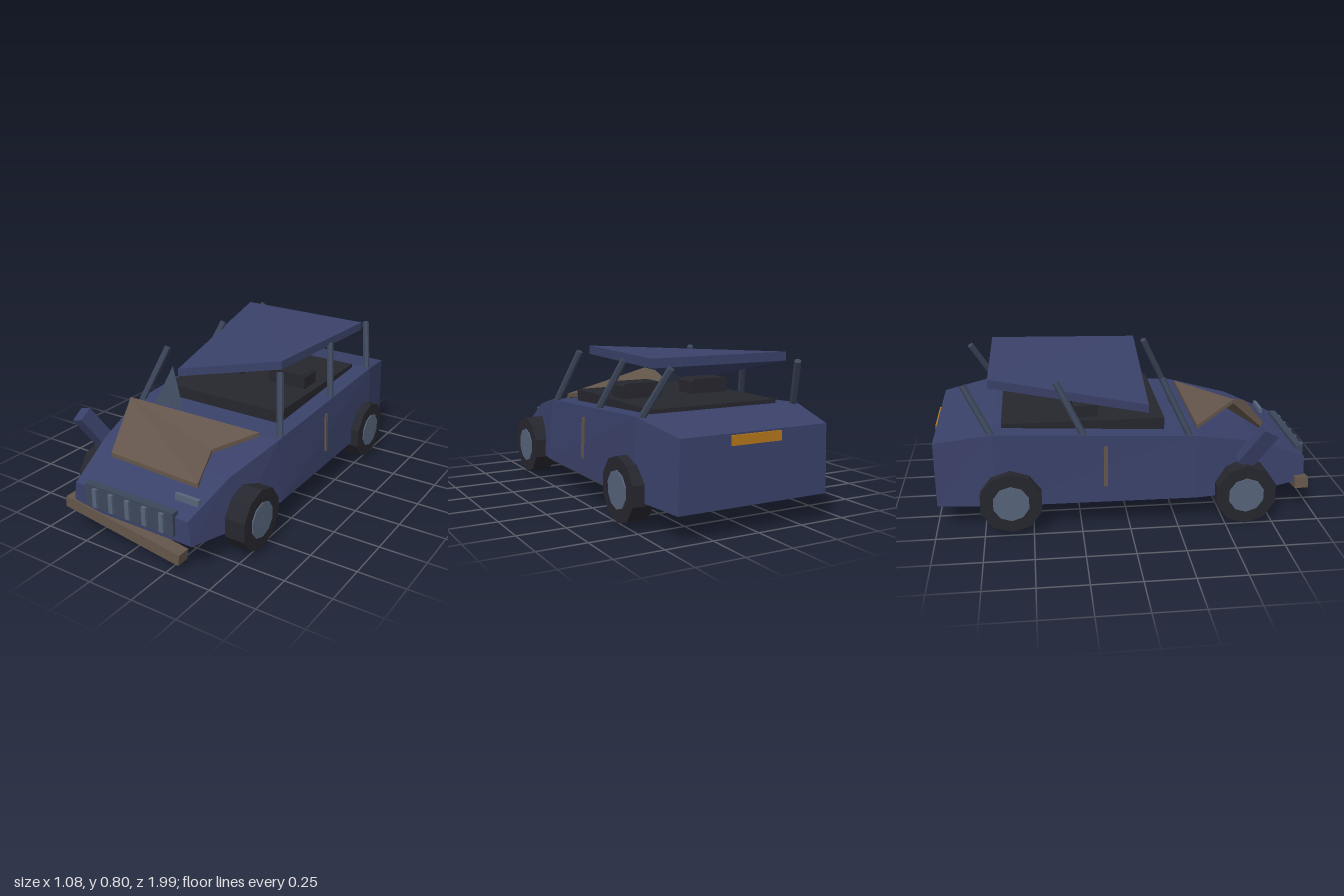
import * as THREE from 'three';

const mat = (name, color, extra = {}) =>
  Object.assign(new THREE.MeshStandardMaterial({ color, flatShading: true, ...extra }), { name });

export function createModel() {
  const car = new THREE.Group();
  car.name = 'wreckedCar';
  const navy = mat('navy paint', 0x3a4169);
  const rust = mat('rusty metal', 0x63554a);
  const rubber = mat('dark rubber', 0x26262e);
  const steel = mat('dull steel', 0x3c465a, { side: THREE.DoubleSide });
  const pale = mat('pale steel', 0x56647a);
  const amber = mat('amber plate', 0xb5771c);
  const cx = 0.015; // body centre line

  const add = (name, geometry, material, x = 0, y = 0, z = 0) => {
    const mesh = new THREE.Mesh(geometry, material);
    mesh.name = name;
    mesh.position.set(x, y, z);
    car.add(mesh);
    return mesh;
  };
  const box = (name, material, w, h, d, x, y, z) =>
    add(name, new THREE.BoxGeometry(w, h, d), material, x, y, z);

  // Skins four-cornered sections running from rear to front:
  // top left, top right, bottom right, bottom left
  const loft = (rings, flipped = []) => {
    const pos = [];
    const tri = (...pts) => pts.forEach((p) => pos.push(...p));
    for (let i = 0; i < rings.length - 1; i++) {
      for (let k = 0; k < 4; k++) {
        const n = (k + 1) % 4;
        const a = rings[i][k], b = rings[i][n], c = rings[i + 1][n], d = rings[i + 1][k];
        if (flipped.includes(i)) { tri(a, d, b); tri(b, d, c); }
        else { tri(a, d, c); tri(a, c, b); }
      }
    }
    const r = rings[0], f = rings[rings.length - 1];
    tri(r[0], r[1], r[2]); tri(r[0], r[2], r[3]);
    tri(f[0], f[3], f[2]); tri(f[0], f[2], f[1]);
    const g = new THREE.BufferGeometry();
    g.setAttribute('position', new THREE.Float32BufferAttribute(pos, 3));
    g.computeVertexNormals();
    return g;
  };
  // Bent sheet: rows of [left point, right point] with a vertical thickness
  const sheet = (rows, t, flipped) => loft(rows.map(([l, r]) => [
    l, r, [r[0], r[1] - t, r[2]], [l[0], l[1] - t, l[2]],
  ]), flipped);

  // Body shell: z, top y, bottom y, half width at top, half width at bottom
  const stations = [
    [-0.99, 0.48, 0.135, 0.405, 0.415],
    [-0.69, 0.537, 0.15, 0.463, 0.475],
    [0.35, 0.483, 0.145, 0.455, 0.48],
    [0.69, 0.408, 0.14, 0.388, 0.425],
    [0.96, 0.29, 0.165, 0.343, 0.362],
  ];
  add('body', loft(stations.map(([z, t, b, wt, wb]) => [
    [cx - wt, t, z], [cx + wt, t, z], [cx + wb, b, z], [cx - wb, b, z],
  ])), navy);

  // Collapsed roof with its front corner pushed down
  add('roof', sheet([
    [[-0.365, 0.8, -0.7], [0.4, 0.8, -0.7]],
    [[-0.325, 0.62, 0.112], [0.34, 0.8, 0.112]],
  ], 0.045), navy);

  // Buckled bonnet
  add('bonnet', sheet([
    [[-0.335, 0.5, 0.365], [0.367, 0.507, 0.365]],
    [[-0.287, 0.618, 0.565], [0.22, 0.457, 0.565]],
    [[-0.236, 0.408, 0.79], [0.294, 0.388, 0.79]],
  ], 0.022, [0]), rust);

  // Cabin and seats
  box('cabinFloor', rubber, 0.73, 0.08, 0.835, cx, 0.515, -0.228);
  const seat = new THREE.Shape([
    [-0.112, 0], [0.112, 0], [0.112, 0.07], [0.097, 0.085], [-0.097, 0.085], [-0.112, 0.07],
  ].map(([x, y]) => new THREE.Vector2(x, y)));
  for (const x of [-0.184, 0.222]) {
    add('seatBack', new THREE.ExtrudeGeometry(seat, { depth: 0.13, bevelEnabled: false }),
      rubber, x, 0.548, -0.28);
  }

  // Leaning pillars, three each side
  for (const side of [-1, 1]) {
    for (const [z, y] of [[0.31, 0.48], [-0.23, 0.5], [-0.69, 0.52]]) {
      const base = new THREE.Vector3(cx + side * 0.44, y, z);
      const tip = new THREE.Vector3(cx + side * 0.355, 0.765, z - 0.135);
      const dir = tip.clone().sub(base);
      const post = add('pillar', new THREE.CylinderGeometry(0.018, 0.018, dir.length(), 6), steel);
      post.position.copy(base).addScaledVector(dir, 0.5);
      post.quaternion.setFromUnitVectors(new THREE.Vector3(0, 1, 0), dir.normalize());
    }
  }

  // Broken windscreen shard
  const shard = new THREE.BufferGeometry();
  shard.setAttribute('position', new THREE.Float32BufferAttribute(
    [-0.335, 0.485, 0.31, -0.145, 0.485, 0.31, -0.3, 0.668, 0.19], 3));
  shard.computeVertexNormals();
  add('windscreenShard', shard, steel);

  // Wheels with hubs
  const cyl = (r, w) => new THREE.CylinderGeometry(r, r, w, 10, 1, false, Math.PI / 10)
    .rotateZ(Math.PI / 2);
  for (const [x, y, z] of [
    [-0.445, 0.163, 0.605], [-0.445, 0.18, -0.61], [0.48, 0.183, 0.605], [0.48, 0.183, -0.61],
  ]) {
    add('tyre', cyl(0.163, 0.11), rubber, x, y, z);
    add('hub', cyl(0.095, 0.122), pale, x, y, z);
  }

  // Grille and bars
  box('grille', steel, 0.535, 0.123, 0.04, 0.018, 0.257, 0.957);
  for (let i = -2; i <= 2; i++) {
    box('grilleBar', pale, 0.025, 0.1, 0.02, 0.021 + i * 0.102, 0.257, 0.982);
  }
  box('headlamp', pale, 0.135, 0.04, 0.02, 0.292, 0.34, 0.867);

  // Hanging bumper and torn wing
  box('bumper', rust, 0.71, 0.06, 0.072, -0.045, 0.118, 0.934).rotation.z = -0.14;
  const wing = box('tornWing', navy, 0.07, 0.24, 0.085, -0.465, 0.425, 0.655);
  wing.quaternion.setFromUnitVectors(new THREE.Vector3(0, 1, 0),
    new THREE.Vector3(-0.07, 0.2, 0.115).normalize());

  // Rust streaks on the doors and the rear plate
  for (const side of [-1, 1]) {
    const streak = box('doorStreak', rust, 0.008, 0.215, 0.02, cx + side * 0.477, 0.345, -0.125);
    streak.rotation.z = side * 0.04;
  }
  box('rearPlate', amber, 0.275, 0.048, 0.009, 0.018, 0.448, -0.995);

  return car;
}
